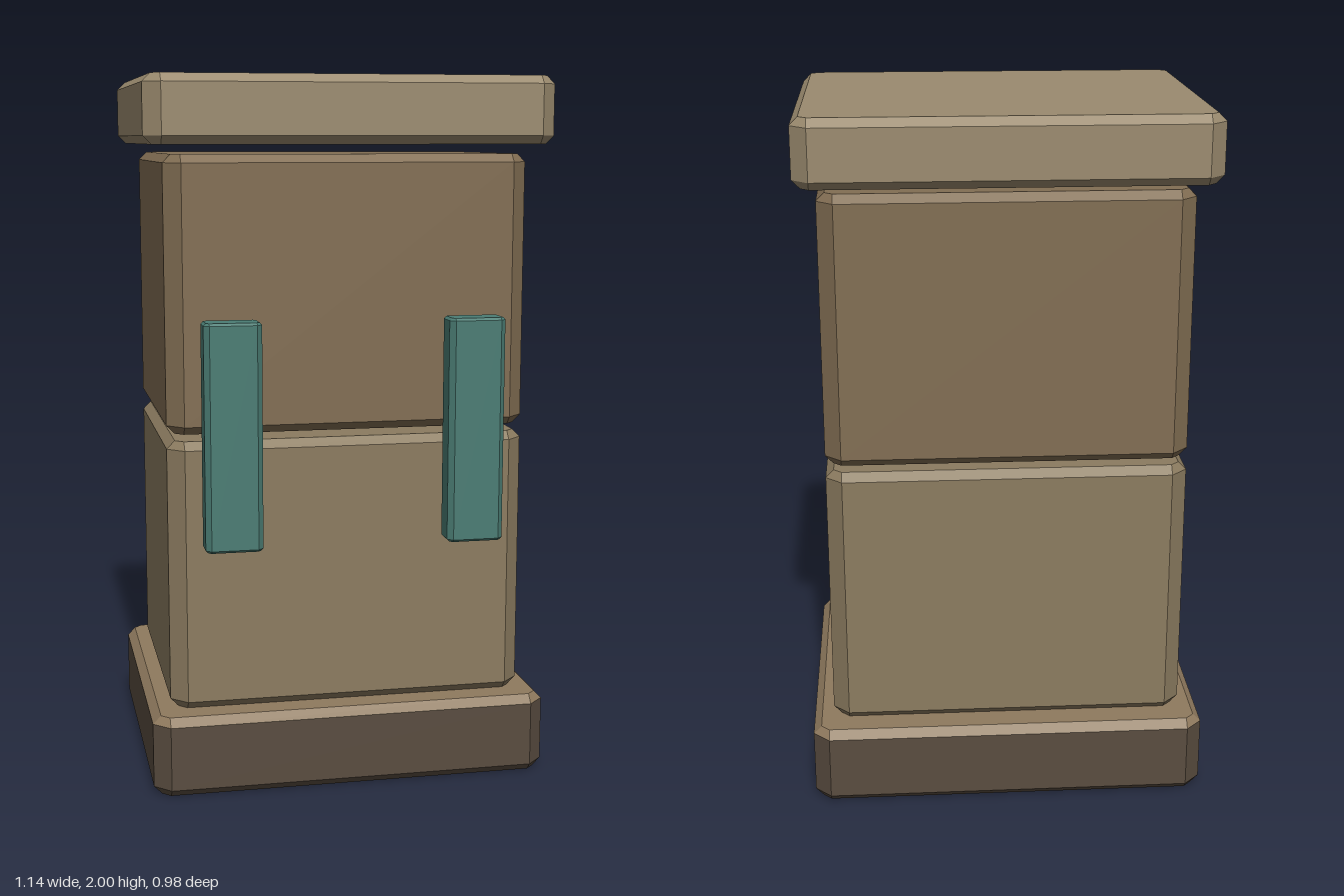
import * as THREE from 'three';

const BEVEL = 0.023;

// Octagonal outline of a box with cut corners, counter-clockwise seen from above
function outline(hx, hz, cut) {
  return [
    [hx, hz - cut], [hx, -hz + cut], [hx - cut, -hz], [-hx + cut, -hz],
    [-hx, -hz + cut], [-hx, hz - cut], [-hx + cut, hz], [hx - cut, hz],
  ];
}

// Stack of outlines; each level is [y, inset]. The cut shrinks with the inset.
function stack(name, color, box, levels, cut, capBottom = true, capTop = true) {
  const { x0, x1, z0, z1 } = box;
  const cx = (x0 + x1) / 2, cz = (z0 + z1) / 2;
  const rings = levels.map(([y, inset]) =>
    outline((x1 - x0) / 2 - inset, (z1 - z0) / 2 - inset, cut - inset)
      .map(([x, z]) => [x + cx, y, z + cz]));
  const pos = [];
  const tri = (a, b, c) => pos.push(...a, ...b, ...c);
  for (let r = 0; r < rings.length - 1; r++) {
    const lo = rings[r], hi = rings[r + 1];
    for (let i = 0; i < 8; i++) {
      const j = (i + 1) % 8;
      tri(lo[i], lo[j], hi[j]);
      tri(lo[i], hi[j], hi[i]);
    }
  }
  const first = rings[0], last = rings[rings.length - 1];
  for (let i = 1; i < 7; i++) {
    if (capBottom) tri(first[0], first[i + 1], first[i]);
    if (capTop) tri(last[0], last[i], last[i + 1]);
  }
  const geometry = new THREE.BufferGeometry();
  geometry.setAttribute('position', new THREE.Float32BufferAttribute(pos, 3));
  geometry.computeVertexNormals();
  const mesh = new THREE.Mesh(geometry, new THREE.MeshStandardMaterial({ color, flatShading: true }));
  mesh.name = name;
  return mesh;
}

// Box with bevels on every edge
function bevelBox(name, color, box, y0, y1, bevel = BEVEL, cut = 2 * bevel) {
  return stack(name, color, box,
    [[y0, bevel], [y0 + bevel, 0], [y1 - bevel, 0], [y1, bevel]], cut);
}

export function createModel() {
  const model = new THREE.Group();
  model.name = 'stackedBox';
  const wide = { x0: -0.57, x1: 0.57, z0: -0.49, z1: 0.462 };
  const narrow = { x0: -0.512, x1: 0.512, z0: -0.412, z1: 0.388 };

  // Dark base with a lighter bevelled top
  model.add(stack('base', 0x5a4d40, wide,
    [[0, BEVEL], [BEVEL, 0], [0.207, 0]], 2 * BEVEL, true, false));
  model.add(stack('baseTop', 0x8f7a5e, wide,
    [[0.207, 0], [0.23, BEVEL]], 2 * BEVEL, false, true));

  // Two stacked bodies and the lid, with open gaps between them
  model.add(bevelBox('lowerBody', 0x8c7c60, narrow, 0.23, 1.0));
  model.add(bevelBox('upperBody', 0x826e53, narrow, 1.02, 1.787));
  model.add(bevelBox('lid', 0x9b8b6f, wide, 1.813, 2));

  // Pair of front clasps
  const clasps = new THREE.Group();
  clasps.name = 'clasps';
  for (const side of [-1, 1]) {
    const cx = side * 0.342;
    clasps.add(bevelBox(side > 0 ? 'leftClasp' : 'rightClasp', 0x4b7d74,
      { x0: cx - 0.08, x1: cx + 0.08, z0: 0.398, z1: 0.488 }, 0.707, 1.34, 0.007, 0.015));
  }
  model.add(clasps);
  return model;
}
